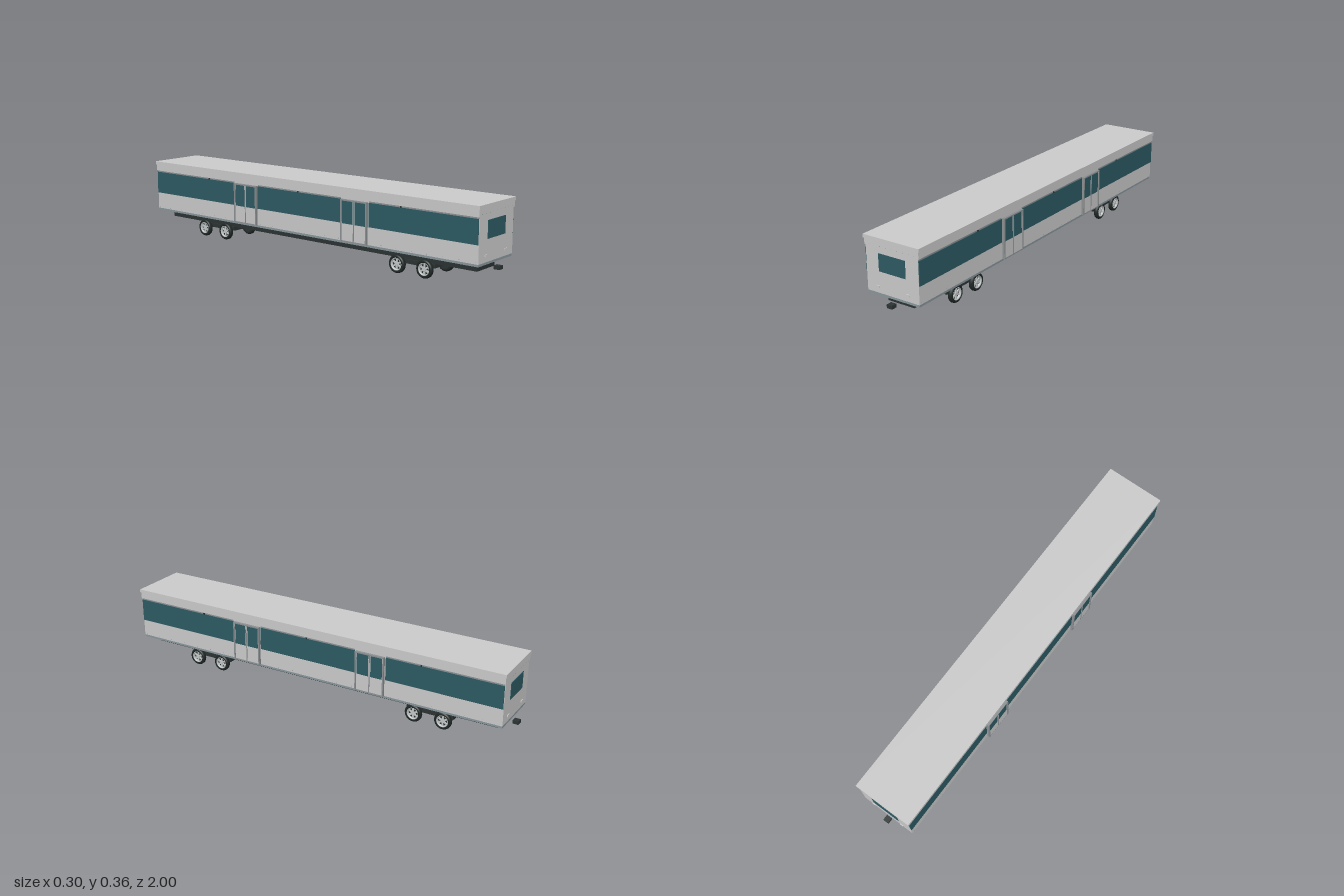
import * as THREE from 'three';

export function createModel() {
  const root = new THREE.Group();
  const mat = (name, color) => {
    const m = new THREE.MeshStandardMaterial({ color });
    m.name = name;
    return m;
  };
  const shell = mat('light grey shell', 0xcacaca);
  const glass = mat('teal glass', 0x2d5a63);
  const sill = mat('blue grey sill', 0x87969b);
  const trim = mat('grey trim', 0x8c9092);
  const iron = mat('dark iron', 0x2b3332);
  const rubber = mat('black rubber', 0x1f2826);
  const alloy = mat('wheel alloy', 0xc2c6c6);

  const add = (name, geometry, material, x = 0, y = 0, z = 0, parent = root) => {
    const m = new THREE.Mesh(geometry, material);
    m.name = name;
    m.position.set(x, y, z);
    parent.add(m);
    return m;
  };
  // Box given by its limits on each axis
  const box = (name, material, x0, x1, y0, y1, z0, z1, parent = root) =>
    add(name, new THREE.BoxGeometry(x1 - x0, y1 - y0, z1 - z0), material,
      (x0 + x1) / 2, (y0 + y1) / 2, (z0 + z1) / 2, parent);

  // Car body, floor sill and stepped roof
  box('body', shell, -0.137, 0.137, 0.117, 0.347, -0.972, 0.972);
  box('floorSill', sill, -0.135, 0.135, 0.106, 0.117, -0.971, 0.971);
  box('roofFascia', shell, -0.142, 0.142, 0.318, 0.347, -0.974, 0.974);
  box('roof', shell, -0.146, 0.146, 0.347, 0.363, -0.977, 0.977);

  // Sides: window bands, sliding doors, rivets
  const rivet = new THREE.SphereGeometry(0.0016, 6, 4);
  for (const s of [-1, 1]) {
    const side = new THREE.Group();
    side.name = s > 0 ? 'leftSide' : 'rightSide';
    root.add(side);
    const plate = (name, material, xa, xb, y0, y1, z0, z1) =>
      box(name, material, Math.min(s * xa, s * xb), Math.max(s * xa, s * xb), y0, y1, z0, z1, side);

    for (const [a, b] of [[-0.97, -0.412], [-0.255, 0.255], [0.412, 0.97]]) {
      plate('sideWindow', glass, 0.1365, 0.141, 0.199, 0.308, a, b);
      plate('windowRail', trim, 0.1365, 0.1385, 0.308, 0.314, a, b);
    }
    for (const z of [-0.585, 0, 0.585]) plate('windowClip', iron, 0.137, 0.143, 0.307, 0.314, z - 0.003, z + 0.003);

    for (const c of [-0.333, 0.333]) {
      for (const e of [-1, 1]) {
        const z0 = c + e * 0.035;
        plate('doorLeaf', shell, 0.1365, 0.1455, 0.12, 0.306, z0 - 0.033, z0 + 0.033);
        plate('doorGlass', glass, 0.1455, 0.1465, 0.199, 0.302, z0 - 0.029, z0 + 0.029);
        plate('doorPost', trim, 0.1365, 0.15, 0.118, 0.307, c + e * 0.07 - 0.003, c + e * 0.07 + 0.003);
      }
      plate('doorSeam', trim, 0.1365, 0.148, 0.12, 0.306, c - 0.002, c + 0.002);
      plate('doorHeader', trim, 0.1365, 0.15, 0.303, 0.309, c - 0.073, c + 0.073);
      plate('doorStep', trim, 0.1365, 0.148, 0.117, 0.121, c - 0.073, c + 0.073);
    }
    for (let i = -12; i <= 12; i++) add('rivet', rivet, trim, s * 0.137, 0.125, i * 0.08, side);
  }

  // Both ends: window, rivets, lamps and coupler
  for (const s of [-1, 1]) {
    const end = new THREE.Group();
    end.name = s > 0 ? 'frontEnd' : 'backEnd';
    end.rotation.y = s > 0 ? 0 : Math.PI;
    root.add(end);
    box('endWindow', glass, -0.07, 0.07, 0.215, 0.294, 0.971, 0.9745, end);
    for (let i = -4; i <= 4; i++) add('rivet', rivet, trim, i * 0.03, 0.326, 0.974, end);
    for (const x of [-0.08, 0.08]) box('endStep', shell, x - 0.009, x + 0.009, 0.141, 0.15, 0.972, 0.976, end);
    box('coupler', iron, -0.014, 0.014, 0.076, 0.092, 0.972, 1.0, end);
  }

  // Chassis
  box('chassis', iron, -0.07, 0.07, 0.068, 0.088, -0.927, 0.927);

  // Wheel, turned about its own axis (outer face towards +y)
  const v = (r, y) => new THREE.Vector2(r, y);
  const tyreGeo = new THREE.LatheGeometry([
    v(0.028, -0.010), v(0.034, -0.0115), v(0.039, -0.0095), v(0.0415, -0.005),
    v(0.0415, 0.005), v(0.039, 0.0095), v(0.034, 0.0115), v(0.028, 0.010), v(0.028, -0.010),
  ], 32);
  const rimGeo = new THREE.LatheGeometry([
    v(0.023, -0.006), v(0.029, -0.006), v(0.029, 0.0105), v(0.026, 0.0105), v(0.023, 0.006), v(0.023, -0.006),
  ], 32);
  const spokeGeo = new THREE.BoxGeometry(0.02, 0.005, 0.008);
  const makeWheel = () => {
    const wheel = new THREE.Group();
    wheel.name = 'wheel';
    add('tyre', tyreGeo, rubber, 0, 0, 0, wheel);
    add('rim', rimGeo, alloy, 0, 0, 0, wheel);
    add('brakeDisc', new THREE.CylinderGeometry(0.028, 0.028, 0.01, 24), iron, 0, -0.004, 0, wheel);
    add('hub', new THREE.CylinderGeometry(0.009, 0.009, 0.012, 16), alloy, 0, 0.003, 0, wheel);
    for (let i = 0; i < 6; i++) {
      const a = i * Math.PI / 3;
      add('spoke', spokeGeo, alloy, Math.cos(a) * 0.015, 0.004, -Math.sin(a) * 0.015, wheel).rotation.y = a;
    }
    return wheel;
  };

  // Two bogies with two axles each
  for (const c of [-0.603, 0.603]) {
    const bogie = new THREE.Group();
    bogie.name = 'bogie';
    bogie.position.z = c;
    root.add(bogie);
    box('bogieFrame', iron, -0.07, 0.07, 0.047, 0.066, -0.115, 0.115, bogie);
    box('bogiePivot', iron, -0.03, 0.03, 0.065, 0.069, -0.03, 0.03, bogie);
    for (const z of [-0.073, 0.073]) {
      add('axle', new THREE.CylinderGeometry(0.008, 0.008, 0.15, 12), iron, 0, 0.047, z, bogie).rotation.z = Math.PI / 2;
      for (const s of [-1, 1]) {
        const wheel = makeWheel();
        wheel.position.set(s * 0.083, 0.0415, z);
        wheel.rotation.z = -s * Math.PI / 2;
        bogie.add(wheel);
      }
    }
  }
  return root;
}
